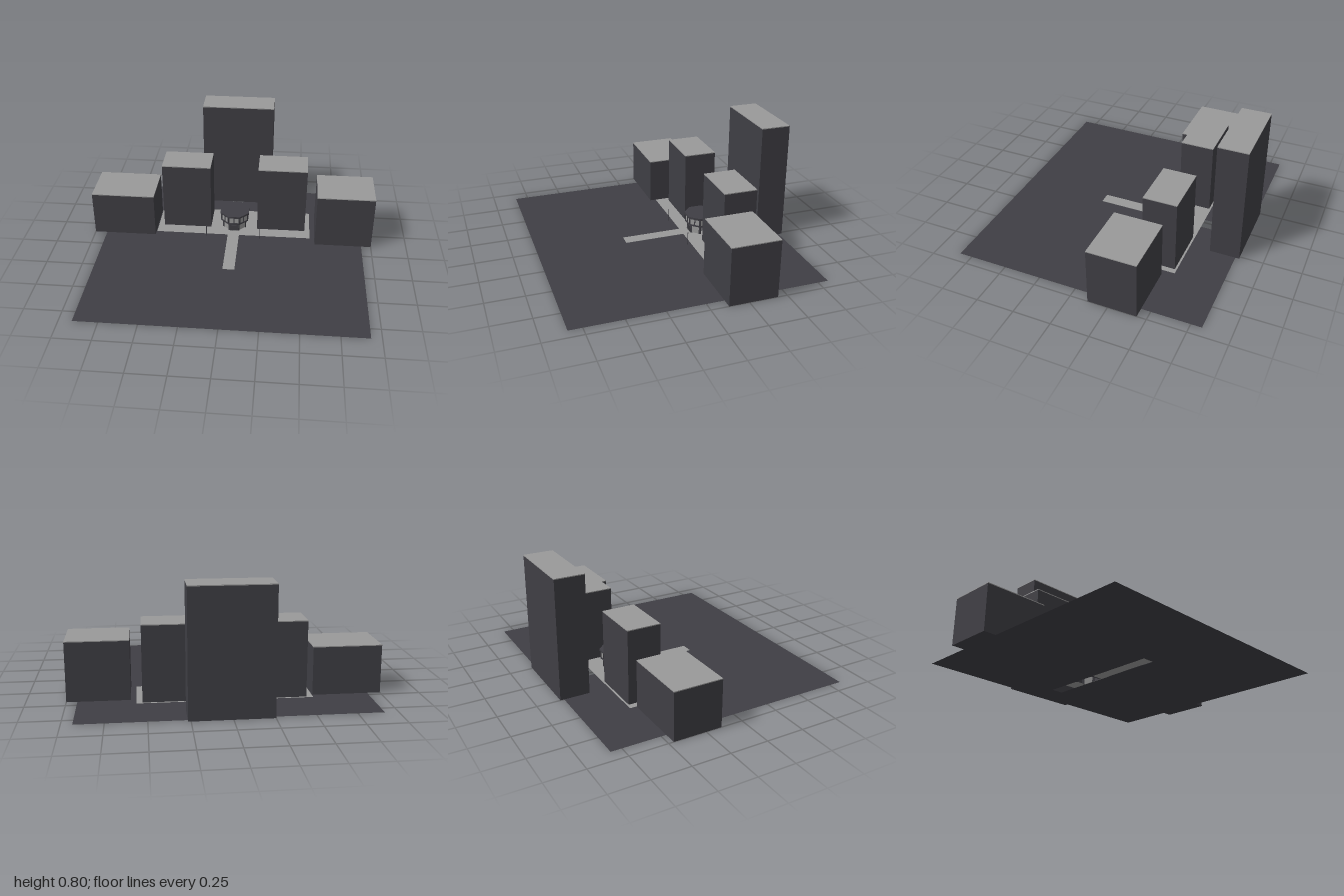
import * as THREE from 'three';

const dark = new THREE.MeshStandardMaterial({ color: 0x3f3e44, side: THREE.DoubleSide });
dark.name = 'charcoal';
const light = new THREE.MeshStandardMaterial({ color: 0x999999, side: THREE.DoubleSide });
light.name = 'concrete grey';

function add(parent, name, geometry, material, x = 0, y = 0, z = 0) {
  const mesh = new THREE.Mesh(geometry, material);
  mesh.name = name;
  mesh.position.set(x, y, z);
  parent.add(mesh);
  return mesh;
}

// flat sheet between x0..x1 and z0..z1, with an optional rectangular opening
function sheet(x0, x1, z0, z1, hole) {
  const trace = (path, a, b, c, d) =>
    path.moveTo(a, -d).lineTo(b, -d).lineTo(b, -c).lineTo(a, -c).closePath();
  const shape = trace(new THREE.Shape(), x0, x1, z0, z1);
  if (hole) shape.holes.push(trace(new THREE.Path(), ...hole));
  return new THREE.ShapeGeometry(shape).rotateX(-Math.PI / 2);
}

// plain tower block with a pale roof slab
function building(parent, name, x0, x1, z0, z1, height) {
  const g = new THREE.Group();
  g.name = name;
  const slab = 0.006, w = x1 - x0, d = z1 - z0, h = height - slab;
  const x = (x0 + x1) / 2, z = (z0 + z1) / 2;
  add(g, 'walls', new THREE.BoxGeometry(w, h, d), dark, x, h / 2, z);
  add(g, 'roof', new THREE.BoxGeometry(w, slab, d), light, x, h + slab / 2, z);
  parent.add(g);
}

// eight-sided prism with flat sides facing the axes
function octagon(apothem, height) {
  const r = apothem / Math.cos(Math.PI / 8);
  return new THREE.CylinderGeometry(r, r, height, 8, 1, false, Math.PI / 8);
}

// two-storey octagonal pavilion
function pavilion() {
  const g = new THREE.Group();
  g.name = 'pavilion';
  add(g, 'roof', octagon(0.104, 0.012), dark, 0, 0.122, 0);
  add(g, 'floorBand', octagon(0.1, 0.01), dark, 0, 0.065, 0);
  for (let i = 0; i < 8; i++) {
    const side = new THREE.Group();
    side.name = 'side' + i;
    side.rotation.y = (i * Math.PI) / 4;
    // upper window with mullions
    add(side, 'upperWindow', new THREE.BoxGeometry(0.076, 0.048, 0.004), light, 0, 0.093, 0.093);
    add(side, 'windowRail', new THREE.BoxGeometry(0.08, 0.006, 0.008), dark, 0, 0.113, 0.094);
    for (const x of [-0.036, 0, 0.036])
      add(side, 'mullion', new THREE.BoxGeometry(0.006, 0.048, 0.008), dark, x, 0.093, 0.095);
    // lower posts and lintel
    add(side, 'lintel', new THREE.BoxGeometry(0.07, 0.008, 0.008), dark, 0, 0.057, 0.08);
    for (const x of [-0.031, 0.031])
      add(side, 'post', new THREE.BoxGeometry(0.009, 0.06, 0.009), dark, x, 0.03, 0.08);
    // glazing on the diagonals, door at the front, other sides open
    if (i % 2)
      add(side, 'lowerWindow', new THREE.BoxGeometry(0.055, 0.055, 0.004), light, 0, 0.028, 0.079);
    if (i === 0) {
      add(side, 'frontWall', new THREE.BoxGeometry(0.066, 0.06, 0.006), dark, 0, 0.03, 0.079);
      for (const x of [-0.015, 0.015])
        add(side, 'doorJamb', new THREE.BoxGeometry(0.004, 0.036, 0.006), dark, x, 0.018, 0.084);
      add(side, 'doorHead', new THREE.BoxGeometry(0.034, 0.004, 0.006), dark, 0, 0.038, 0.084);
    }
    g.add(side);
  }
  g.position.set(0.012, 0.002, -0.328);
  return g;
}

export function createModel() {
  const model = new THREE.Group();
  model.name = 'campus';

  // ground with a slot along the path line, and the paving over it
  add(model, 'ground', sheet(-0.915, 0.932, -0.82, 0.838, [-0.03, 0.052, -0.68, 0.23]), dark);
  add(model, 'plaza', sheet(-0.55, 0.565, -0.513, -0.185, [-0.03, 0.052, -0.4, -0.24]), light, 0, 0.002, 0);
  add(model, 'path', sheet(-0.03, 0.052, -0.185, 0.232), light, 0, 0.002, 0);

  // blocks
  building(model, 'lowRightBlock', -1, -0.555, -0.467, -0.145, 0.32);
  building(model, 'lowLeftBlock', 0.6, 1, -0.438, -0.117, 0.39);
  building(model, 'midRightBlock', -0.508, -0.16, -0.5, -0.277, 0.5);
  building(model, 'midLeftBlock', 0.18, 0.528, -0.5, -0.277, 0.5);
  building(model, 'tallRearBlock', -0.25, 0.268, -0.845, -0.647, 0.803);

  model.add(pavilion());

  // slim posts at the plaza edge
  for (const x of [-0.182, 0.205])
    add(model, 'lampPost', new THREE.CylinderGeometry(0.003, 0.003, 0.09, 6), dark, x, 0.045, -0.16);

  return model;
}
